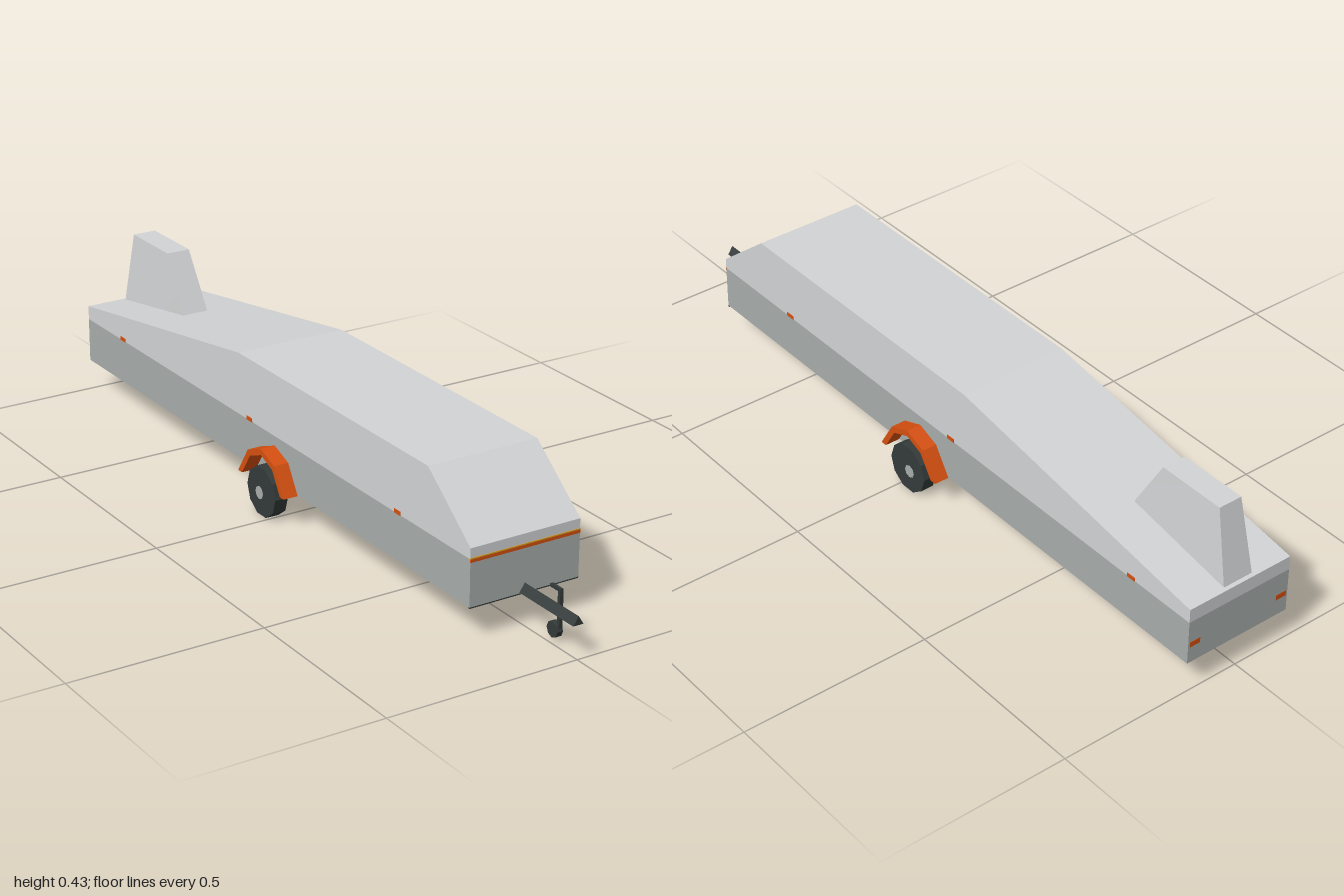
import * as THREE from 'three';

const mat = (name, color, extra = {}) => new THREE.MeshStandardMaterial({ name, color, ...extra });

export function createModel() {
  const both = { side: THREE.DoubleSide };
  const shellGrey = mat('upper shell grey', 0xd2d4d5, both);
  const skirtGrey = mat('lower wall grey', 0xa8aeac, both);
  const dark = mat('dark rubber and steel', 0x343b3a);
  const orange = mat('orange', 0xd65010);
  const yellow = mat('yellow', 0xe0a020);
  const model = new THREE.Group();
  model.name = 'trailer';

  const add = (name, geometry, material, x = 0, y = 0, z = 0, parent = model) => {
    const mesh = new THREE.Mesh(geometry, material);
    mesh.name = name;
    mesh.position.set(x, y, z);
    parent.add(mesh);
    return mesh;
  };
  const box = (name, material, w, h, d, x, y, z, parent) =>
    add(name, new THREE.BoxGeometry(w, h, d), material, x, y, z, parent);

  // Closed (z, y) outline used for side panels and extrusions across x
  const outline = (points) => new THREE.Shape(points.map(([z, y]) => new THREE.Vector2(z, y)));
  const HALF = 0.15;

  const sidePanels = (name, points, material) => {
    for (const s of [1, -1]) {
      const g = new THREE.ShapeGeometry(outline(points));
      g.rotateY(-Math.PI / 2);
      if (s > 0) g.scale(-1, 1, 1); // mirrored winding is restored below
      if (s > 0) {
        const index = g.index.array;
        for (let i = 0; i < index.length; i += 3) [index[i], index[i + 1]] = [index[i + 1], index[i]];
        g.computeVertexNormals();
      }
      add(name + (s > 0 ? 'Left' : 'Right'), g, material, s * HALF);
    }
  };

  // One flat panel spanning the width between two (z, y) points
  const crossPanel = (name, [z0, y0], [z1, y1], material) => {
    const g = new THREE.PlaneGeometry(1, 1);
    const p = g.attributes.position;
    [[-HALF, y1, z1], [HALF, y1, z1], [-HALF, y0, z0], [HALF, y0, z0]].forEach((v, i) => p.setXYZ(i, ...v));
    g.computeVertexNormals();
    add(name, g, material);
  };

  // Upper shell: hollow, open underneath
  const upper = [[0.8, 0.203], [0.8, 0.23], [0.63, 0.365], [-0.2, 0.365], [-1, 0.24], [-1, 0.203]];
  sidePanels('upperSide', upper, shellGrey);
  ['frontLip', 'frontSlope', 'roof', 'rearSlope', 'rearLip'].forEach((name, i) =>
    crossPanel(name, upper[i], upper[i + 1], shellGrey));

  // Lower walls
  const lower = [[0.8, 0.085], [0.8, 0.203], [-1, 0.203], [-1, 0.085]];
  sidePanels('lowerSide', lower, skirtGrey);
  crossPanel('frontWall', lower[0], lower[1], skirtGrey);
  crossPanel('rearWall', lower[2], lower[3], skirtGrey);

  // Tapered tail fin housing sitting on the rear slope
  const fin = new THREE.BoxGeometry(1, 1, 1);
  const fp = fin.attributes.position;
  for (let i = 0; i < fp.count; i++) {
    const top = fp.getY(i) > 0, front = fp.getZ(i) > 0;
    const z = top ? (front ? -0.765 : -0.95) : (front ? -0.68 : -0.99);
    const y = top ? 0.436 : 0.365 + (z + 0.2) * 0.15625;
    fp.setXYZ(i, Math.sign(fp.getX(i)) * (top ? 0.032 : front ? 0.036 : 0.042), y, z);
  }
  fin.computeVertexNormals();
  add('tailFinHousing', fin, shellGrey);

  // Front trim strip and lower edge
  box('frontTrim', orange, 0.3, 0.008, 0.003, 0, 0.199, 0.8);
  box('frontTrimEdge', yellow, 0.3, 0.003, 0.003, 0, 0.2045, 0.8);
  box('frontLowerEdge', dark, 0.3, 0.004, 0.004, 0, 0.084, 0.798);

  // Fender: bent band over each wheel
  const arc = [[0.105, 0.083], [0.062, 0.155], [0, 0.178], [-0.062, 0.155], [-0.11, 0.083]];
  const inner = [[-0.092, 0.083], [-0.052, 0.142], [0, 0.162], [0.052, 0.142], [0.088, 0.083]];
  const wheelZ = -0.03;

  for (const s of [1, -1]) {
    const side = new THREE.Group();
    side.name = s > 0 ? 'leftWheelAssembly' : 'rightWheelAssembly';
    model.add(side);

    const fender = new THREE.ExtrudeGeometry(outline([...arc, ...inner]), { depth: 0.04, bevelEnabled: false });
    fender.rotateY(-Math.PI / 2);
    add('fender', fender, orange, s > 0 ? 0.19 : -0.15, 0, wheelZ, side);

    const wheel = new THREE.CylinderGeometry(0.066, 0.066, 0.036, 10).toNonIndexed();
    wheel.rotateZ(Math.PI / 2);
    wheel.computeVertexNormals();
    add('wheel', wheel, dark, s * 0.172, 0.065, wheelZ, side);

    const hub = new THREE.CylinderGeometry(0.017, 0.017, 0.003, 8);
    hub.rotateZ(Math.PI / 2);
    add('hubCap', hub, skirtGrey, s * 0.19, 0.06, wheelZ - 0.008, side);

    // Side markers and tail lamps
    for (const z of [0.51, -0.15, -0.805])
      box('sideMarker', orange, 0.003, 0.01, 0.026, s * HALF, 0.207, z, side);
    box('tailLamp', orange, 0.03, 0.014, 0.003, s * 0.13, 0.137, -1 + 0.0006, side);
  }

  // Triangular drawbar
  const bar = new THREE.Shape([[-0.014, 0.087], [0.014, 0.087], [0, 0.109]].map((p) => new THREE.Vector2(...p)));
  add('drawbar', new THREE.ExtrudeGeometry(bar, { depth: 0.2, bevelEnabled: false }), dark, 0, 0, 0.8);

  // Jockey wheel with post and crank
  const jockey = new THREE.Group();
  jockey.name = 'jockeyWheel';
  jockey.position.set(0.016, 0, 0.912);
  model.add(jockey);
  box('post', dark, 0.009, 0.092, 0.009, 0, 0.084, 0, jockey);
  box('crank', dark, 0.008, 0.008, 0.038, 0, 0.132, -0.015, jockey);
  const small = new THREE.CylinderGeometry(0.02, 0.02, 0.016, 8).toNonIndexed();
  small.rotateZ(Math.PI / 2);
  small.computeVertexNormals();
  add('smallWheel', small, dark, 0, 0.03, -0.017, jockey);

  return model;
}
